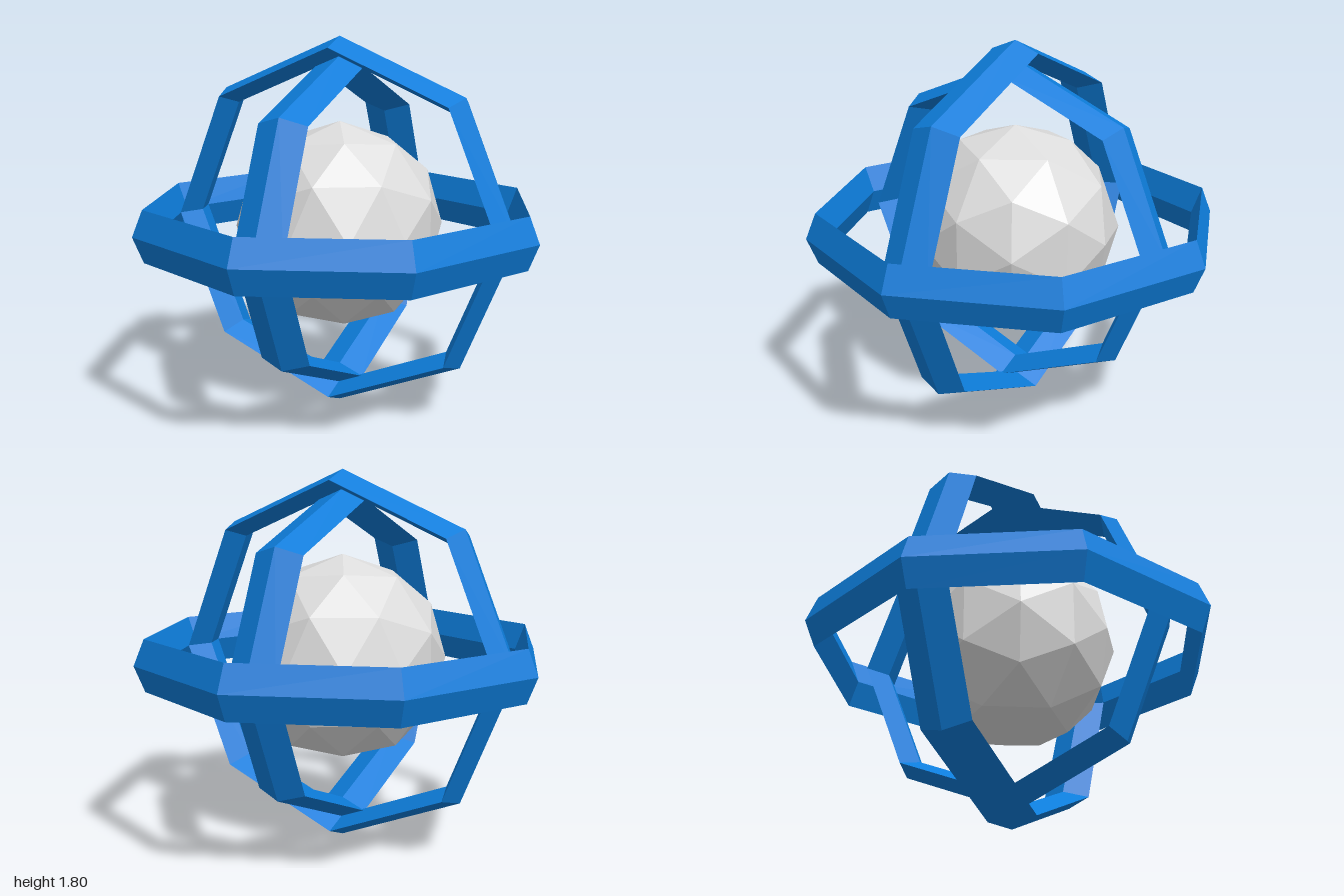
import * as THREE from 'three';

const CENTER_Y = 0.9;
const TUBE = 0.05;
const HALF_WIDTH = 0.125;

// Eight-sided band with a flat diamond cross-section, lying in the XY plane
function ringGeometry(outerRadius) {
  const geo = new THREE.TorusGeometry(outerRadius - TUBE, TUBE, 4, 8);
  geo.scale(1, 1, HALF_WIDTH / TUBE);
  return geo;
}

export function createModel() {
  const group = new THREE.Group();
  group.name = 'ringedSphere';

  const blue = new THREE.MeshStandardMaterial({ color: 0x0d7ddb, flatShading: true });
  blue.name = 'blue';
  const grey = new THREE.MeshStandardMaterial({ color: 0xdcdcdc, flatShading: true });
  grey.name = 'light grey';

  function add(name, geo, material) {
    const mesh = new THREE.Mesh(geo, material);
    mesh.name = name;
    mesh.position.y = CENTER_Y;
    group.add(mesh);
  }

  // Three nested rings, each at right angles to the others
  add('horizontalRing', ringGeometry(1.0).rotateX(Math.PI / 2), blue);
  add('frontRing', ringGeometry(0.9), blue);
  add('sideRing', ringGeometry(0.81).rotateY(Math.PI / 2), blue);

  // Faceted core, turned so one five-sided corner points to the front
  const core = new THREE.IcosahedronGeometry(0.5, 1);
  core.rotateX(Math.atan(2 / (1 + Math.sqrt(5))));
  core.rotateZ(Math.PI / 2);
  add('core', core, grey);

  return group;
}
